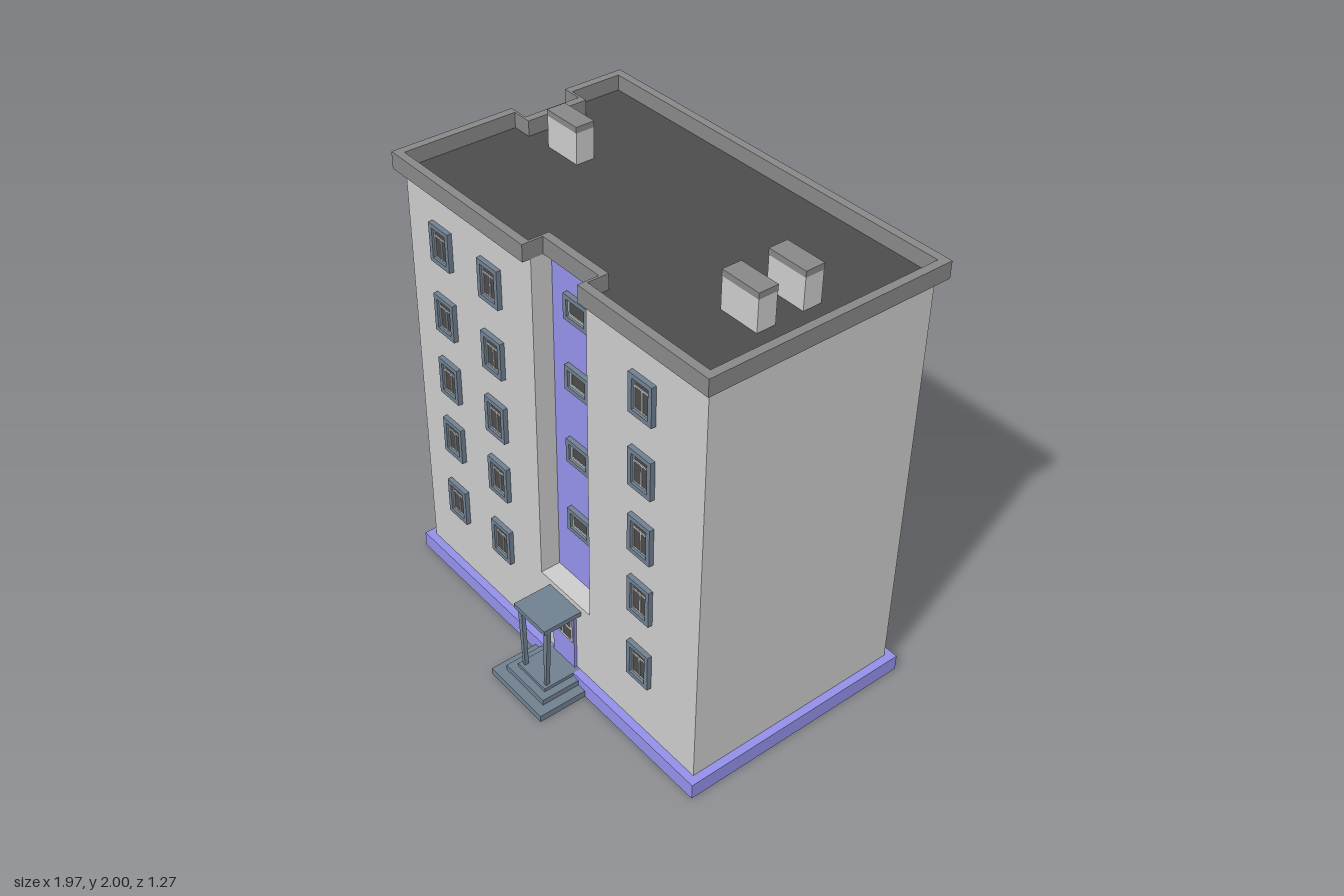
import * as THREE from 'three';

const mat = (color) => new THREE.MeshStandardMaterial({ color, side: THREE.DoubleSide, flatShading: true });
const GREY = mat(0xcccccc), LILAC = mat(0x9490ea), SLATE = mat(0x708090);
const DARK = mat(0x4c4c4c), TRIM = mat(0x888888);

// Main dimensions
const X0 = -0.74, X1 = 0.95, Z0 = -0.6, Z1 = 0.385;
const BASE = 0.07, TOP = 1.84, DEPTH = 0.087, LIP = 0.034;
const FRONT_NOTCH = [0.03, 0.335], SIDE_NOTCH = [-0.365, -0.115];
const ROWS = [1.62, 1.31, 1.015, 0.725, 0.405];
const STAIR_ROWS = [1.67, 1.37, 1.04, 0.71];

function add(parent, name, geometry, material, x = 0, y = 0, z = 0) {
  const mesh = new THREE.Mesh(geometry, material);
  mesh.name = name;
  mesh.position.set(x, y, z);
  parent.add(mesh);
  return mesh;
}

const box = (parent, name, material, w, h, d, x, y, z) =>
  add(parent, name, new THREE.BoxGeometry(w, h, d), material, x, y, z);

const shapeOf = (points) => new THREE.Shape(points.map(([x, y]) => new THREE.Vector2(x, y)));

const rect = (w, h) => [[-w / 2, -h / 2], [w / 2, -h / 2], [w / 2, h / 2], [-w / 2, h / 2]];

// Flat rectangular frame facing +z
function frameGeometry(w, h, border, depth) {
  const shape = shapeOf(rect(w, h));
  shape.holes.push(shapeOf(rect(w - 2 * border, h - 2 * border)));
  return new THREE.ExtrudeGeometry(shape, { depth, bevelEnabled: false });
}

// Plan outline in (x, -z), following both stair recesses, widened by d
function notchedPlan(d, w) {
  const [a, b] = FRONT_NOTCH, [c, e] = SIDE_NOTCH;
  const zi = Z1 - DEPTH + d, xi = X0 + DEPTH - d;
  return [
    [X0 - d, Z0 - d], [X1 + d, Z0 - d], [X1 + d, Z1 + d],
    [b + w, Z1 + d], [b + w, zi], [a - w, zi], [a - w, Z1 + d],
    [X0 - d, Z1 + d], [X0 - d, e + w], [xi, e + w], [xi, c - w], [X0 - d, c - w],
  ].map(([x, z]) => [x, -z]);
}

const plainPlan = (d) => [[X0 - d, d - Z0], [X1 + d, d - Z0], [X1 + d, -Z1 - d], [X0 - d, -Z1 - d]];

// Horizontal ring between two plans
function ring(outer, inner, height) {
  const shape = shapeOf(outer);
  shape.holes.push(shapeOf(inner));
  return new THREE.ExtrudeGeometry(shape, { depth: height, bevelEnabled: false }).rotateX(-Math.PI / 2);
}

function addWindow(face, x, y) {
  const g = new THREE.Group();
  g.name = 'window';
  g.position.set(x, y, 0);
  add(g, 'windowSurround', frameGeometry(0.122, 0.164, 0.019, 0.02), SLATE);
  box(g, 'windowGlass', DARK, 0.084, 0.126, 0.006, 0, 0, 0.003);
  add(g, 'windowSash', frameGeometry(0.086, 0.128, 0.005, 0.01), GREY);
  box(g, 'windowTransom', GREY, 0.084, 0.007, 0.01, 0, 0.03, 0.005);
  box(g, 'windowMullion', GREY, 0.007, 0.09, 0.01, 0, -0.016, 0.005);
  face.add(g);
}

function addStairWindow(face, x, y) {
  const g = new THREE.Group();
  g.name = 'stairWindow';
  g.position.set(x, y, -DEPTH);
  add(g, 'stairWindowSurround', frameGeometry(0.135, 0.105, 0.018, 0.02), SLATE);
  add(g, 'stairWindowSash', frameGeometry(0.1, 0.07, 0.009, 0.01), GREY);
  box(g, 'stairWindowGlass', DARK, 0.084, 0.054, 0.006, 0, 0, 0.003);
  face.add(g);
}

// Recessed stair strip: back panel, two cheeks and a sill
function addRecess(face, [a, b]) {
  const sill = 0.41, h = TOP - sill, cx = (a + b) / 2, cy = (sill + TOP) / 2;
  add(face, 'stairPanel', new THREE.PlaneGeometry(b - a, h), LILAC, cx, cy, -DEPTH);
  for (const x of [a, b])
    add(face, 'recessCheek', new THREE.PlaneGeometry(DEPTH, h).rotateY(Math.PI / 2), GREY, x, cy, -DEPTH / 2);
  add(face, 'recessSill', new THREE.PlaneGeometry(b - a, DEPTH).rotateX(-Math.PI / 2), GREY, cx, sill, -DEPTH / 2);
  for (const y of STAIR_ROWS) addStairWindow(face, cx, y);
}

// Door, steps and canopy on two leaning posts
function addPorch(face, x) {
  const g = new THREE.Group();
  g.name = 'porch';
  g.position.x = x;
  box(g, 'door', LILAC, 0.135, 0.28, 0.012, 0, 0.21, 0.006);
  box(g, 'doorGlass', DARK, 0.11, 0.12, 0.004, 0, 0.27, 0.013);
  add(g, 'doorWindowFrame', frameGeometry(0.124, 0.13, 0.01, 0.006), GREY, 0, 0.27, 0.012);
  box(g, 'doorBarVertical', GREY, 0.01, 0.12, 0.006, 0, 0.27, 0.015);
  box(g, 'doorBarHorizontal', GREY, 0.12, 0.01, 0.006, 0, 0.27, 0.015);
  [[0.322, 0.248, 0, 0.03], [0.24, 0.205, 0.03, 0.055], [0.175, 0.172, 0.055, 0.07]].forEach(([w, d, y0, y1]) =>
    box(g, 'step', SLATE, w, y1 - y0, d, 0, (y0 + y1) / 2, d / 2));
  box(g, 'canopy', SLATE, 0.195, 0.021, 0.172, 0, 0.375, 0.086);
  for (const s of [-1, 1]) {
    const post = new THREE.BoxGeometry(0.014, 0.296, 0.018);
    const p = post.attributes.position;
    // Widen and lean the upper end outwards
    for (let i = 0; i < p.count; i++)
      if (p.getY(i) > 0) p.setX(i, p.getX(i) * 1.7 + s * 0.014);
    add(g, 'post', post, SLATE, s * 0.069, 0.217, 0.148);
  }
  face.add(g);
}

// One wall in its own frame: local z points outwards
function addFace(parent, name, x0, x1, columns, notch) {
  const face = new THREE.Group();
  face.name = name;
  const pts = [[x0, BASE], [x1, BASE], [x1, TOP]];
  if (notch) pts.push([notch[1], TOP], [notch[1], 0.41], [notch[0], 0.41], [notch[0], TOP]);
  pts.push([x0, TOP]);
  add(face, name + 'Surface', new THREE.ShapeGeometry(shapeOf(pts)), GREY);
  for (const x of columns) for (const y of ROWS) addWindow(face, x, y);
  if (notch) addRecess(face, notch);
  parent.add(face);
  return face;
}

export function createModel() {
  const model = new THREE.Group();
  model.name = 'apartmentBlock';

  // Four walls
  const front = addFace(model, 'frontWall', X0, X1, [-0.52, -0.215, 0.64], FRONT_NOTCH);
  front.position.z = Z1;
  addPorch(front, 0.182);

  const back = addFace(model, 'backWall', -X1, -X0, [-0.675, -0.37, 0.23, 0.535]);
  back.position.z = Z0;
  back.rotation.y = Math.PI;

  const right = addFace(model, 'rightWall', Z0, Z1, [0.145], SIDE_NOTCH);
  right.position.x = X0;
  right.rotation.y = -Math.PI / 2;
  addPorch(right, -0.25);

  const left = addFace(model, 'leftWall', -Z1, -Z0, []);
  left.position.x = X1;
  left.rotation.y = Math.PI / 2;

  // Plinth, roof deck and parapet
  add(model, 'plinth', ring(plainPlan(LIP), plainPlan(0), BASE), LILAC);
  const deck = new THREE.ShapeGeometry(shapeOf(notchedPlan(0, 0))).rotateX(-Math.PI / 2);
  add(model, 'roofDeck', deck, DARK, 0, TOP + 0.006, 0);
  add(model, 'parapet', ring(notchedPlan(LIP, 0), notchedPlan(0, 0.01), 0.07), TRIM, 0, TOP, 0);

  // Roof vents
  for (const [x, z] of [[-0.458, -0.155], [0.743, -0.155], [0.743, 0.045]]) {
    box(model, 'ventShaft', GREY, 0.174, 0.13, 0.08, x, 1.91, z);
    box(model, 'ventCap', TRIM, 0.176, 0.025, 0.082, x, 1.9875, z);
  }
  return model;
}
